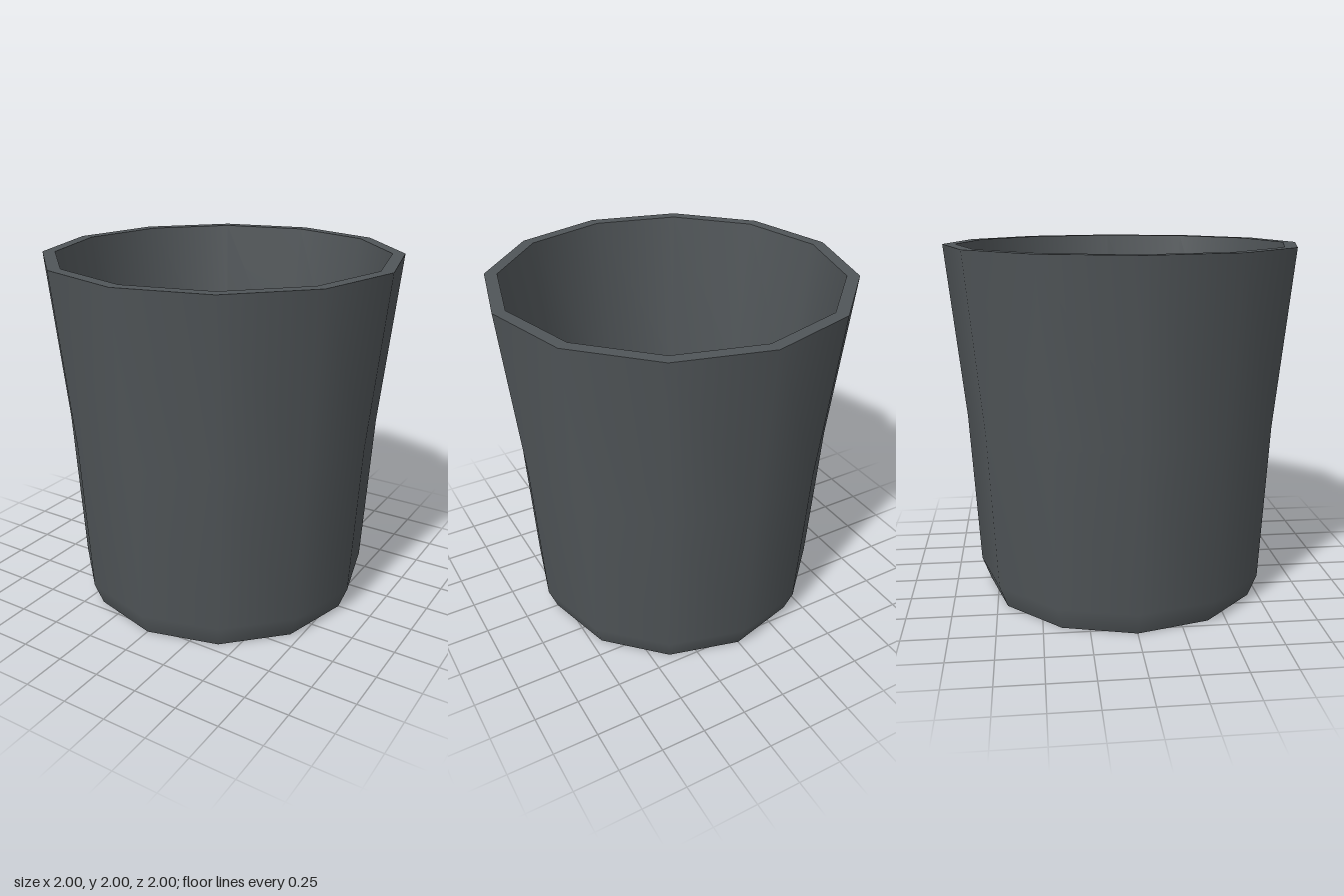
import * as THREE from 'three';

const SIDES = 12;

export function createModel() {
  const cup = new THREE.Group();
  cup.name = 'cup';
  const material = new THREE.MeshStandardMaterial({ color: 0x505558 });

  // Each section is its own lathe, so edges between sections stay sharp
  const addSection = (name, profile) => {
    const points = profile.map(([r, y]) => new THREE.Vector2(r, y));
    const mesh = new THREE.Mesh(new THREE.LatheGeometry(points, SIDES), material);
    mesh.name = name;
    cup.add(mesh);
  };

  // Underside
  addSection('base', [[0, 0], [0.8, 0]]);
  // Tapered outside with a narrow bevel at the foot
  addSection('outerWall', [[0.8, 0], [0.85, 0.13], [0.9, 1.02], [1, 2]]);
  // Flat lip
  addSection('rim', [[1, 2], [0.93, 2]]);
  // Inside follows the outer taper
  addSection('innerWall', [[0.93, 2], [0.83, 1.02], [0.78, 0.17], [0.755, 0.1]]);
  // Inside bottom
  addSection('floor', [[0.755, 0.1], [0, 0.1]]);

  return cup;
}
